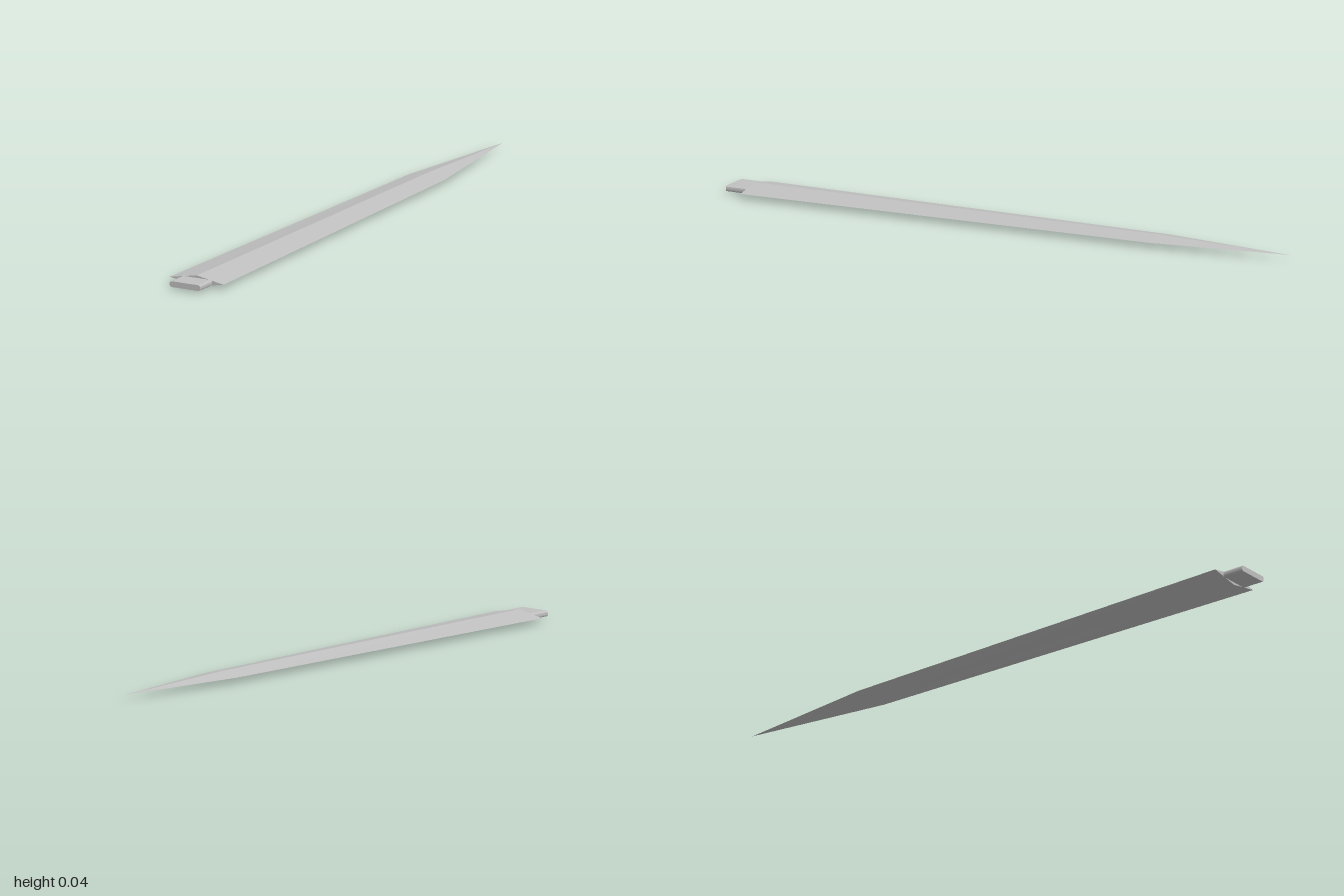
import * as THREE from 'three';

const MID = 0.0178; // height of the blade's centre plane

// Loft diamond cross-sections [z, half width, half thickness] from base to tip
function bladeGeometry(sections) {
  const rings = sections.map(([z, w, t]) => [
    [w, MID, z], [0, MID + t, z], [-w, MID, z], [0, MID - t, z],
  ]);
  const positions = [];
  const tri = (...points) => points.forEach((p) => positions.push(...p));
  for (let i = 0; i < rings.length - 1; i++) {
    for (let j = 0; j < 4; j++) {
      const k = (j + 1) % 4;
      const a = rings[i][j], b = rings[i][k], c = rings[i + 1][k], d = rings[i + 1][j];
      tri(a, c, b);
      if (sections[i + 1][1] > 0) tri(a, d, c);
    }
  }
  // Base cap
  const [r, t, l, b] = rings[0];
  tri(r, t, l);
  tri(r, l, b);
  const geometry = new THREE.BufferGeometry();
  geometry.setAttribute('position', new THREE.Float32BufferAttribute(positions, 3));
  geometry.computeVertexNormals();
  return geometry;
}

// Flat bar with softened long edges
function tangGeometry(w, h, bevel, length) {
  const shape = new THREE.Shape();
  shape.moveTo(-w + bevel, -h);
  shape.lineTo(w - bevel, -h);
  shape.quadraticCurveTo(w, -h, w, -h * 0.3);
  shape.lineTo(w, h * 0.3);
  shape.quadraticCurveTo(w, h, w - bevel, h);
  shape.lineTo(-w + bevel, h);
  shape.quadraticCurveTo(-w, h, -w, h * 0.3);
  shape.lineTo(-w, -h * 0.3);
  shape.quadraticCurveTo(-w, -h, -w + bevel, -h);
  return new THREE.ExtrudeGeometry(shape, { depth: length, bevelEnabled: false, curveSegments: 3 });
}

export function createModel() {
  const steel = new THREE.MeshStandardMaterial({ color: 0xc0c0c0 });
  steel.name = 'steel';

  const model = new THREE.Group();
  model.name = 'bladeWithTang';

  const blade = new THREE.Mesh(bladeGeometry([
    [0.925, 0.098, 0.0178],
    [-0.525, 0.066, 0.0135],
    [-1, 0, 0],
  ]), steel);
  blade.name = 'blade';

  const tang = new THREE.Mesh(tangGeometry(0.056, 0.0095, 0.009, 0.08), steel);
  tang.name = 'tang';
  tang.position.set(0, MID, 0.92);

  model.add(blade, tang);
  return model;
}
